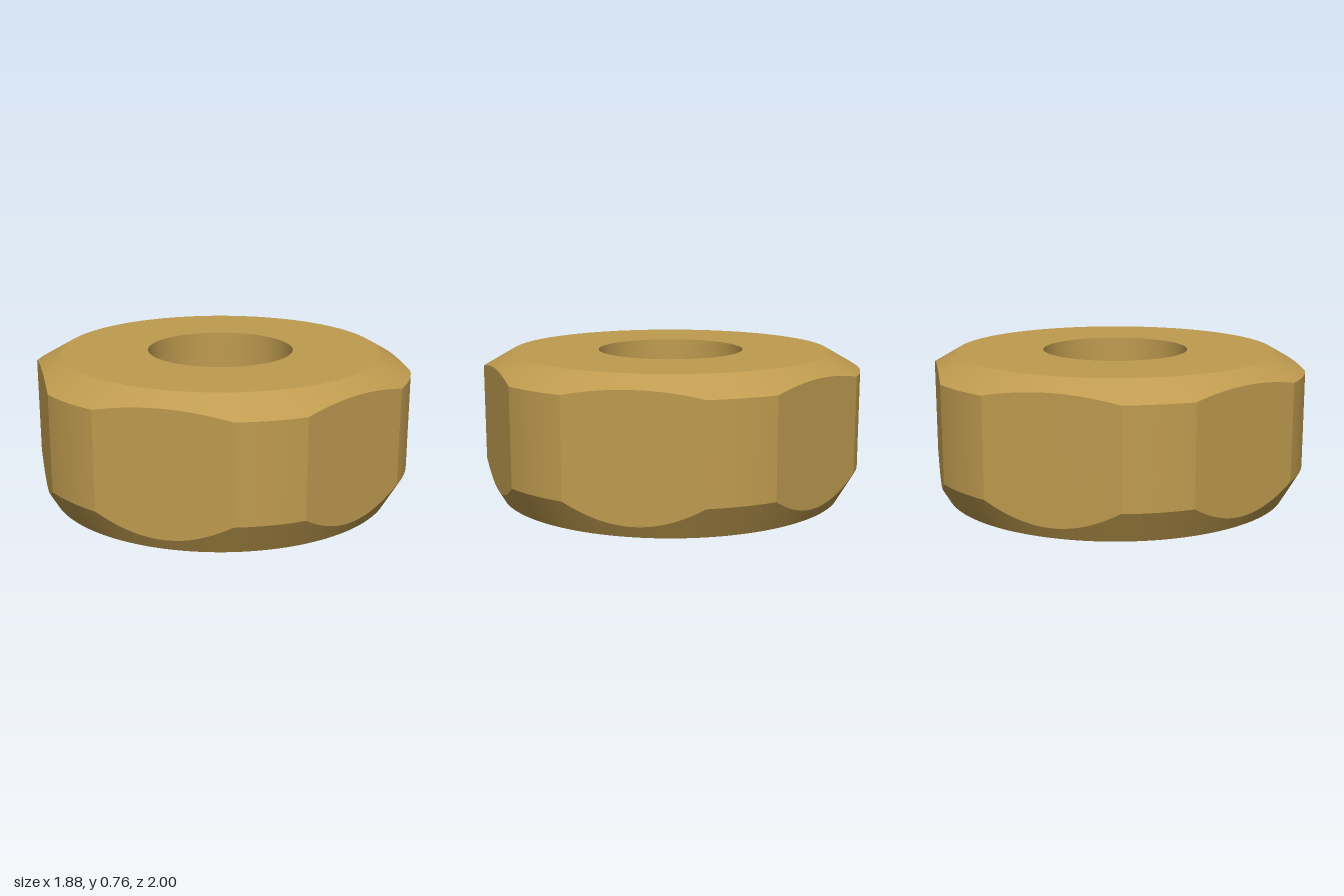
import * as THREE from 'three';

const HEIGHT = 0.763, APOTHEM = 0.94, BORE = 0.382;
const TOP_R = 0.838, TOP_EDGE = 0.67;    // upper chamfer: inner radius, height at radius 1
const BASE_R = 0.905, BASE_EDGE = 0.165; // lower chamfer: inner radius, height at radius 1
const FLAT_HALF = Math.acos(APOTHEM), ARC_HALF = Math.PI / 6 - FLAT_HALF;

// Evenly spaced angles around a centre
const sweep = (centre, half, n) =>
  Array.from({ length: n + 1 }, (_, i) => centre - half + (2 * half * i) / n);

// Band between two edges; each edge returns [radius, y] and normal returns [angle, radial, y]
function band(name, material, angles, lower, upper, normal) {
  const pos = [], nor = [], idx = [];
  angles.forEach((t, i) => {
    const [a, out, ny] = normal(t);
    for (const edge of [lower, upper]) {
      const [r, y] = edge(t);
      pos.push(r * Math.sin(t), y, r * Math.cos(t));
      nor.push(out * Math.sin(a), ny, out * Math.cos(a));
    }
    if (i) {
      const b = 2 * i - 2;
      idx.push(b, b + 2, b + 3, b, b + 3, b + 1);
    }
  });
  const geo = new THREE.BufferGeometry();
  geo.setAttribute('position', new THREE.Float32BufferAttribute(pos, 3));
  geo.setAttribute('normal', new THREE.Float32BufferAttribute(nor, 3));
  geo.setIndex(idx);
  const mesh = new THREE.Mesh(geo, material);
  mesh.name = name;
  return mesh;
}

export function createModel() {
  const nut = new THREE.Group();
  nut.name = 'hexNut';
  const brass = new THREE.MeshStandardMaterial({ color: 0xbf9b4f });
  brass.name = 'brass';
  const add = (name, ...args) => nut.add(band(name, brass, ...args));

  // Hexagon cut by a unit cylinder, with both rims running along cones
  const rimRadius = (t) => {
    const local = t - Math.PI / 6 - Math.round((t - Math.PI / 6) / (Math.PI / 3)) * (Math.PI / 3);
    return Math.min(1, APOTHEM / Math.cos(local));
  };
  const topSlope = (HEIGHT - TOP_EDGE) / (1 - TOP_R);
  const baseSlope = BASE_EDGE / (1 - BASE_R);
  const topRim = (t) => [rimRadius(t), HEIGHT - (rimRadius(t) - TOP_R) * topSlope];
  const baseRim = (t) => [rimRadius(t), (rimRadius(t) - BASE_R) * baseSlope];
  const ring = (r, y) => () => [r, y];
  const cone = (slope, sign) => (t) => {
    const l = Math.hypot(slope, 1);
    return [t, slope / l, sign / l];
  };

  // Six wrench flats and six rounded corners
  const around = [];
  for (let k = 0; k < 6; k++) {
    const corner = (k * Math.PI) / 3, flat = corner + Math.PI / 6;
    const cornerAngles = sweep(corner, ARC_HALF, 8);
    const flatAngles = sweep(flat, FLAT_HALF, 20);
    add('roundedCorner', cornerAngles, baseRim, topRim, (t) => [t, 1, 0]);
    add('wrenchFlat', flatAngles, baseRim, topRim, () => [flat, 1, 0]);
    around.push(...cornerAngles.slice(0, -1), ...flatAngles.slice(0, -1));
  }
  around.push(around[0] + 2 * Math.PI);

  // Conical chamfers
  add('topChamfer', around, topRim, ring(TOP_R, HEIGHT), cone(topSlope, 1));
  add('bottomChamfer', around, ring(BASE_R, 0), baseRim, cone(baseSlope, -1));

  // Flat ends and the straight bore
  add('topFace', around, ring(TOP_R, HEIGHT), ring(BORE, HEIGHT), (t) => [t, 0, 1]);
  add('bottomFace', around, ring(BORE, 0), ring(BASE_R, 0), (t) => [t, 0, -1]);
  add('bore', around, ring(BORE, HEIGHT), ring(BORE, 0), (t) => [t, -1, 0]);
  return nut;
}
